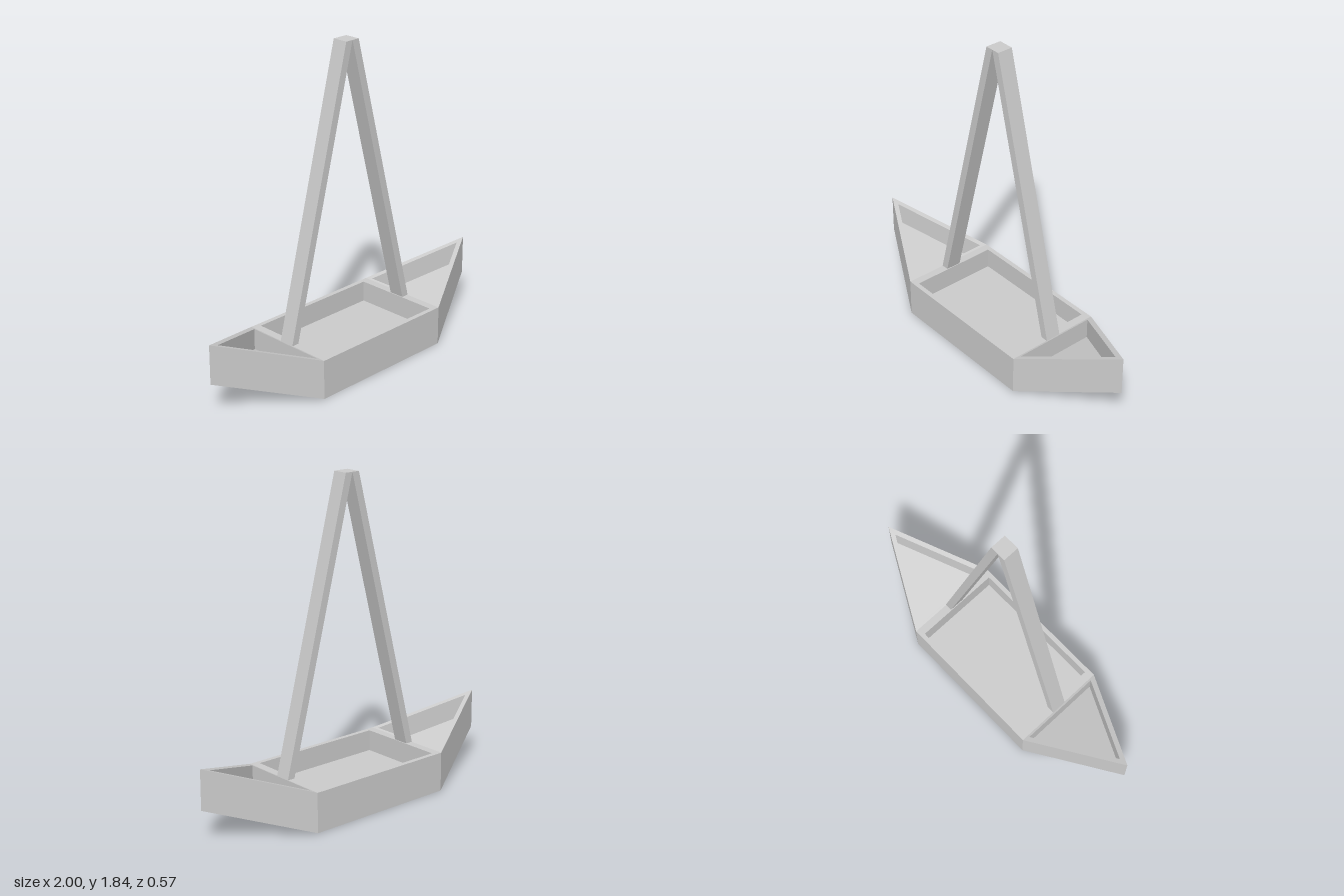
import * as THREE from 'three';

const MID = 0.457;     // where the hull starts to taper and rise
const HALF = 0.287;    // half the beam
const HEIGHT = 0.228;  // depth of the hull side
const FLOOR = 0.105;   // cockpit floor height
const RISE = 0.187;    // how far each tip is lifted

const material = new THREE.MeshStandardMaterial({ color: 0xcccccc, flatShading: true });

const points = (list) => list.map(([x, y]) => new THREE.Vector2(x, y));

// Upright prism over a plan outline, lifted towards the tip
function deckPrism(name, outline, hole, y0, y1) {
  const shape = new THREE.Shape(points(outline));
  if (hole) shape.holes.push(new THREE.Path(points(hole)));
  const geometry = new THREE.ExtrudeGeometry(shape, { depth: y1 - y0, bevelEnabled: false });
  geometry.rotateX(-Math.PI / 2).translate(0, y0, 0);
  const pos = geometry.attributes.position;
  for (let i = 0; i < pos.count; i++) {
    const t = Math.max(0, (Math.abs(pos.getX(i)) - MID) / (1 - MID));
    pos.setY(i, pos.getY(i) + t * RISE);
  }
  geometry.computeVertexNormals();
  const mesh = new THREE.Mesh(geometry, material);
  mesh.name = name;
  return mesh;
}

// Solid bottom slab plus a rim around the recess
function hullSection(name, outline, hole) {
  const section = new THREE.Group();
  section.name = name;
  section.add(
    deckPrism(name + 'Bottom', outline, null, 0, FLOOR),
    deckPrism(name + 'Rim', outline, hole, FLOOR, HEIGHT)
  );
  return section;
}

const rectangle = (x, z) => [[-x, -z], [x, -z], [x, z], [-x, z]];
const triangle = (x, z, tip) => [[x, -z], [tip, 0], [x, z]];

// Leaning mast leg with level ends
function mastLeg(name) {
  const shape = new THREE.Shape(points([[0.415, HEIGHT], [0.46, HEIGHT], [0.046, 1.84], [0, 1.84]]));
  const geometry = new THREE.ExtrudeGeometry(shape, { depth: 0.092, bevelEnabled: false });
  geometry.translate(0, 0, -0.046);
  const mesh = new THREE.Mesh(geometry, material);
  mesh.name = name;
  return mesh;
}

export function createModel() {
  const boat = new THREE.Group();
  boat.name = 'boat';

  boat.add(hullSection('midHull', rectangle(MID, HALF), rectangle(0.41, 0.26)));

  // Both ends and both mast legs are the same, turned half round
  ['left', 'right'].forEach((side, i) => {
    const end = hullSection(side + 'End', triangle(MID, HALF, 1), triangle(0.47, 0.248, 0.942));
    const leg = mastLeg(side + 'MastLeg');
    end.rotation.y = leg.rotation.y = i * Math.PI;
    boat.add(end, leg);
  });

  return boat;
}
